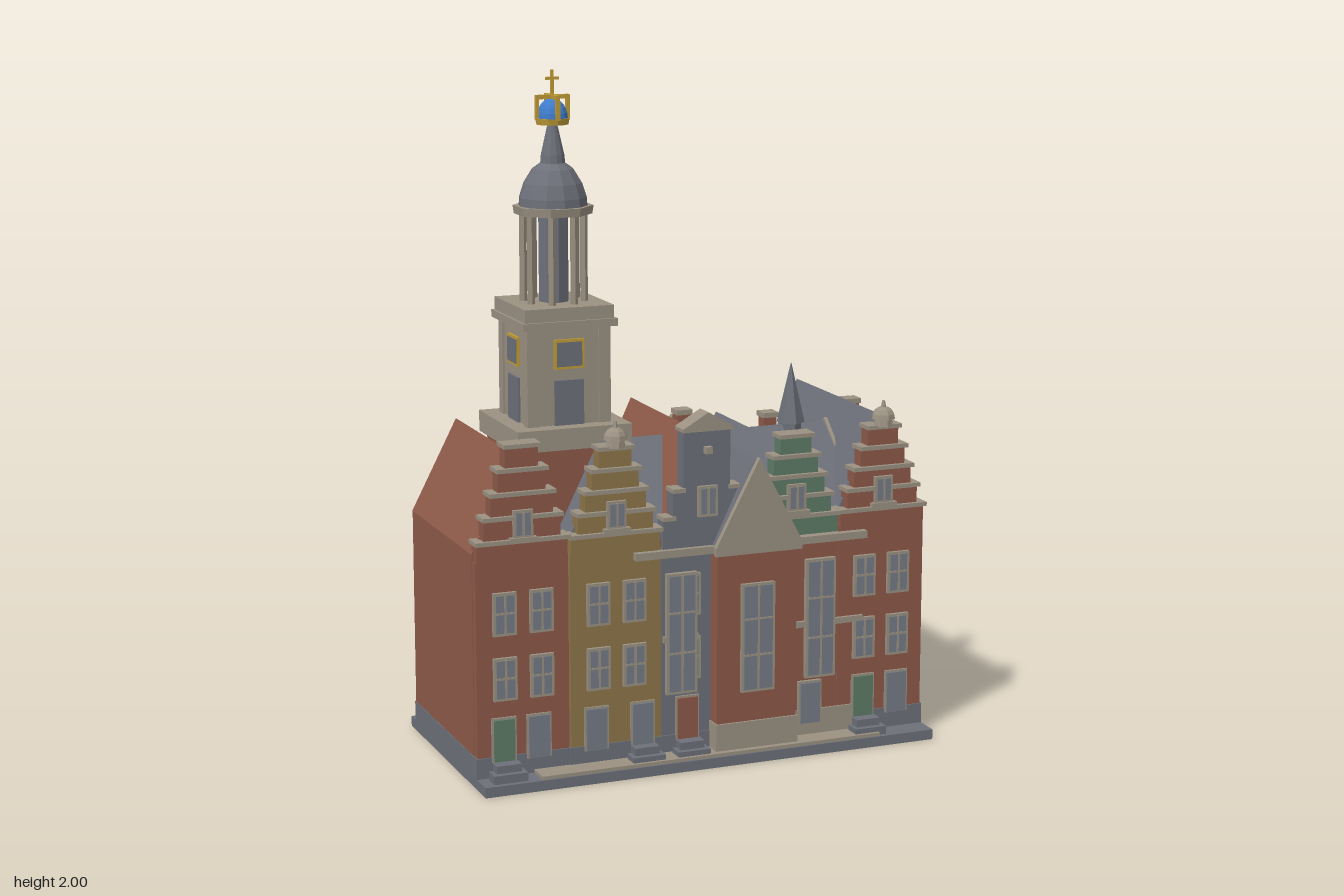
import * as THREE from 'three';

const mat = (name, color) => Object.assign(new THREE.MeshStandardMaterial({ color, flatShading: true }), { name });
const M = {
  brick: mat('brick', 0x8d5a49), slate: mat('slate', 0x6d7079), ochre: mat('ochre', 0x8f7549),
  green: mat('green', 0x5e7c68), stone: mat('stone', 0x9b9182), glass: mat('glass', 0x747b87),
  gold: mat('gold', 0xc09c38), blue: mat('blue', 0x3f7ccb),
};

function add(parent, name, geo, m, x = 0, y = 0, z = 0) {
  const mesh = new THREE.Mesh(geo, m);
  mesh.name = name;
  mesh.position.set(x, y, z);
  parent.add(mesh);
  return mesh;
}
// box standing on height y
const box = (p, name, m, w, h, d, x, y, z) => add(p, name, new THREE.BoxGeometry(w, h, d), m, x, y + h / 2, z);
// tapered cylinder standing on height y
const cyl = (p, name, m, r1, r0, h, n, x, y, z) => add(p, name, new THREE.CylinderGeometry(r1, r0, h, n), m, x, y + h / 2, z);
function group(parent, name, x = 0, y = 0, z = 0, ry = 0) {
  const g = new THREE.Group();
  g.name = name;
  g.position.set(x, y, z);
  g.rotation.y = ry;
  parent.add(g);
  return g;
}
// outline in x and y, extruded from z0 to z1
function prism(p, name, m, pts, z0, z1, x = 0) {
  const s = new THREE.Shape(pts.map(([a, b]) => new THREE.Vector2(a, b)));
  return add(p, name, new THREE.ExtrudeGeometry(s, { depth: z1 - z0, bevelEnabled: false }), m, x, 0, z0);
}
// gabled body with a chevron roof over it
function gabled(p, wallMat, roofMat, hw, eave, ridge, z0, z1) {
  const t = 0.018;
  prism(p, 'walls', wallMat, [[-hw, 0.03], [hw, 0.03], [hw, eave - t], [0, ridge - t], [-hw, eave - t]], z0, z1);
  prism(p, 'roof', roofMat, [[-hw, eave - t], [0, ridge - t], [hw, eave - t], [hw, eave], [0, ridge], [-hw, eave]], z0 - 0.003, z1);
}
// framed window with glazing bars, facing +z of its parent
function windowAt(p, x, y, w, h, z, bars = 1) {
  const g = group(p, 'window', x, y, z);
  box(g, 'windowFrame', M.stone, w, h, 0.016, 0, 0, 0.003);
  box(g, 'windowGlass', M.glass, w - 0.016, h - 0.016, 0.004, 0, 0.008, 0.011);
  box(g, 'windowMullion', M.stone, 0.006, h - 0.01, 0.006, 0, 0.005, 0.012);
  for (let i = 1; i <= bars; i++) box(g, 'windowTransom', M.stone, w - 0.01, 0.006, 0.006, 0, h * i / (bars + 1), 0.012);
}
function door(p, m, x, z) {
  box(p, 'doorFrame', M.stone, 0.074, 0.13, 0.012, x, 0.075, z);
  box(p, 'door', m, 0.062, 0.122, 0.012, x, 0.077, z + 0.005);
}
function chimney(p, x, z, y0, y1) {
  box(p, 'chimney', M.brick, 0.042, y1 - y0, 0.042, x, y0, z);
  box(p, 'chimneyCap', M.stone, 0.05, 0.015, 0.05, x, y1, z);
}

// stepped front gable with stone coping
function steppedGable(p, m, top, finial) {
  const n = 5, y0 = 0.65, h = (top - y0) / n;
  for (let i = 0; i < n; i++) {
    const w = 0.27 - i * 0.043;
    box(p, 'gableStep', m, w, h, 0.045, 0, y0 + i * h, 0.258);
    box(p, 'gableCoping', M.stone, w + 0.012, 0.012, 0.062, 0, y0 + (i + 1) * h - 0.008, 0.262);
  }
  windowAt(p, 0, 0.725, 0.058, 0.08, 0.281, 0);
  box(p, 'gableSill', M.stone, 0.08, 0.012, 0.02, 0, 0.715, 0.288);
  if (finial) {
    cyl(p, 'finialNeck', M.stone, 0.026, 0.03, 0.025, 8, 0, top, 0.28);
    add(p, 'finialCap', new THREE.SphereGeometry(0.036, 8, 4, 0, Math.PI * 2, 0, Math.PI / 2), M.stone, 0, top + 0.022, 0.28);
    cyl(p, 'finialTip', M.stone, 0.004, 0.008, 0.02, 6, 0, top + 0.055, 0.28);
  }
}

// necked front gable with a small pediment
function neckGable(p) {
  for (const [w, y, h] of [[0.27, 0.64, 0.09], [0.21, 0.73, 0.08], [0.145, 0.81, 0.18]]) {
    box(p, 'gableStage', M.slate, w, h, 0.045, 0, y, 0.258);
    if (w > 0.15) for (const s of [-1, 1]) box(p, 'gableCoping', M.stone, 0.04, 0.012, 0.055, s * (w / 2 - 0.018), y + h, 0.26);
  }
  prism(p, 'pediment', M.stone, [[-0.078, 0.985], [0.078, 0.985], [0.078, 0.995], [0, 1.04], [-0.078, 0.995]], 0.23, 0.292);
  windowAt(p, 0, 0.735, 0.06, 0.09, 0.281, 0);
  box(p, 'gableHatch', M.stone, 0.02, 0.02, 0.05, 0, 0.92, 0.275);
}

function house(root, o) {
  const g = group(root, o.name, o.x);
  gabled(g, o.wall, o.roof, 0.14, o.eave, o.ridge, o.back, 0.25);
  box(g, 'facade', o.wall, 0.276, o.eave - 0.05, 0.03, 0, 0.03, o.front - 0.015);
  box(g, 'plinth', M.slate, 0.284, 0.06, o.front - o.back + 0.008, 0, 0.03, (o.front + o.back) / 2);
  const rear = group(g, 'rearWindows', 0, 0, o.back, Math.PI);
  for (const x of [-0.055, 0.055]) for (const y of [0.255, 0.445]) {
    windowAt(g, x, y, 0.07, 0.125, o.front);
    windowAt(rear, x, y, 0.07, 0.125, 0);
  }
  if (o.gable) steppedGable(g, o.wall, o.gable, o.finial);
  else neckGable(g);
  for (const [m, x, step] of o.doors) {
    door(g, m, x, o.doorZ ?? o.front);
    if (step) {
      box(g, 'doorStep', M.slate, 0.1, 0.025, 0.05, x, 0.03, 0.315);
      box(g, 'doorStep', M.slate, 0.075, 0.022, 0.035, x, 0.055, 0.305);
    }
  }
}

function church(root) {
  const g = group(root, 'church');
  // long nave, ridge running sideways
  const nave = group(g, 'nave', 0, 0, 0, Math.PI / 2);
  gabled(nave, M.brick, M.slate, 0.262, 0.69, 0.92, -0.25, 0.5);
  prism(nave, 'naveEndCoping', M.stone, [[-0.26, 0.68], [0.26, 0.68], [0.262, 0.7], [0, 0.93], [-0.262, 0.7]], 0.5, 0.51);
  box(g, 'naveWall', M.brick, 0.2, 0.6, 0.02, 0.32, 0.03, 0.265);
  box(g, 'navePlinth', M.stone, 0.24, 0.075, 0.03, 0.37, 0.04, 0.266);
  for (const s of [-1, 1]) {
    const x = 0.14 + s * 0.22;
    box(g, 'naveCornice', M.stone, 0.3, 0.022, 0.045, 0.14 + s * 0.215, 0.625, 0.275);
    box(g, 'naveStringCourse', M.stone, s > 0 ? 0.24 : 0.11, 0.018, 0.02, s > 0 ? 0.38 : x, 0.37, 0.276);
    windowAt(g, x, 0.215, 0.095, 0.36, 0.28, 2);
  }
  // transept with a stone gable at each end
  const t = group(g, 'transept', 0.14);
  gabled(t, M.brick, M.slate, 0.125, 0.64, 0.9, -0.325, 0.325);
  box(t, 'transeptPlinth', M.stone, 0.26, 0.085, 0.664, 0, 0.035, 0);
  for (const a of [0, Math.PI]) {
    const e = group(t, 'transeptEnd', 0, 0, 0, a);
    prism(e, 'stoneGable', M.stone, [[-0.135, 0.625], [0.135, 0.625], [0.135, 0.65], [0, 0.905], [-0.135, 0.65]], 0.322, 0.34);
    windowAt(e, 0, 0.21, 0.105, 0.325, 0.325, 2);
  }
  // ridge turret
  cyl(g, 'turretDrum', M.slate, 0.032, 0.032, 0.1, 6, 0.39, 0.84, 0);
  cyl(g, 'turretSpire', M.slate, 0.001, 0.042, 0.18, 6, 0.39, 0.925, 0);
}

function tower(root) {
  const g = group(root, 'tower', -0.36);
  box(g, 'towerShaft', M.brick, 0.31, 0.92, 0.31, 0, 0.03, 0);
  box(g, 'lowerCornice', M.stone, 0.346, 0.062, 0.346, 0, 0.938, 0);
  box(g, 'belfry', M.stone, 0.24, 0.29, 0.24, 0, 1, 0);
  box(g, 'belfryCornice', M.stone, 0.284, 0.022, 0.284, 0, 1.28, 0);
  box(g, 'belfryParapet', M.stone, 0.268, 0.038, 0.268, 0, 1.302, 0);
  for (let i = 0; i < 4; i++) {
    const f = group(g, 'belfryFace', 0, 0, 0, i * Math.PI / 2);
    for (const s of [-1, 1]) box(f, 'cornerPilaster', M.stone, 0.035, 0.28, 0.012, s * 0.108, 1, 0.12);
    box(f, 'belfryOpening', M.slate, 0.088, 0.13, 0.012, 0, 1, 0.121);
    box(f, 'clockFrame', M.gold, 0.09, 0.085, 0.014, 0, 1.163, 0.121);
    box(f, 'clockPanel', M.slate, 0.076, 0.07, 0.01, 0, 1.17, 0.125);
  }
  // open lantern
  cyl(g, 'lanternCore', M.slate, 0.045, 0.045, 0.27, 8, 0, 1.335, 0);
  for (let i = 0; i < 8; i++) {
    const a = (i + 0.5) * Math.PI / 4;
    cyl(g, 'lanternColumn', M.stone, 0.011, 0.011, 0.26, 6, 0.087 * Math.cos(a), 1.335, 0.087 * Math.sin(a));
  }
  cyl(g, 'lanternRing', M.stone, 0.116, 0.112, 0.024, 8, 0, 1.592, 0).rotation.y = Math.PI / 8;
  // dome and spire
  const profile = [[0, 1.61], [0.1, 1.61], [0.098, 1.64], [0.085, 1.68], [0.06, 1.72], [0.036, 1.737], [0.034, 1.76], [0.011, 1.86], [0, 1.86]];
  add(g, 'domeAndSpire', new THREE.LatheGeometry(profile.map(([a, b]) => new THREE.Vector2(a, b)), 12), M.slate);
  // crown and cross
  cyl(g, 'crownBand', M.gold, 0.05, 0.046, 0.018, 12, 0, 1.846, 0);
  add(g, 'crownCap', new THREE.SphereGeometry(0.045, 12, 6, 0, Math.PI * 2, 0, Math.PI / 2), M.blue, 0, 1.864, 0).scale.y = 1.25;
  for (let i = 0; i < 4; i++) {
    const f = group(g, 'crownSide', 0, 0, 0, i * Math.PI / 2);
    box(f, 'crownPost', M.gold, 0.012, 0.07, 0.01, 0, 1.86, 0.046);
    box(f, 'crownArch', M.gold, 0.012, 0.012, 0.05, 0, 1.918, 0.026);
  }
  box(g, 'crossPost', M.gold, 0.008, 0.075, 0.008, 0, 1.925, 0);
  box(g, 'crossArm', M.gold, 0.04, 0.008, 0.008, 0, 1.972, 0);
}

export function createModel() {
  const root = new THREE.Group();
  root.name = 'townRow';
  box(root, 'baseSlab', M.slate, 1.404, 0.03, 0.71, 0, 0, 0);
  box(root, 'pavement', M.stone, 1.06, 0.01, 0.7, 0, 0.03, 0);
  const { brick, slate, ochre, green, glass } = M;
  [
    { name: 'house1', x: -0.56, wall: brick, roof: brick, eave: 0.68, ridge: 0.95, front: 0.275, back: -0.31, gable: 0.99, doors: [[green, -0.06, 1], [glass, 0.045, 0]] },
    { name: 'house2', x: -0.28, wall: ochre, roof: slate, eave: 0.68, ridge: 0.96, front: 0.279, back: -0.33, gable: 0.96, finial: true, doors: [[glass, -0.062, 0], [glass, 0.08, 1]] },
    { name: 'house3', x: 0, wall: slate, roof: brick, eave: 0.67, ridge: 0.97, front: 0.276, back: -0.315, doors: [[brick, -0.06, 1]] },
    { name: 'house4', x: 0.28, wall: green, roof: slate, eave: 0.66, ridge: 0.905, front: 0.255, back: -0.31, gable: 0.95, doorZ: 0.28, doors: [[glass, 0.05, 0]] },
    { name: 'house5', x: 0.56, wall: brick, roof: slate, eave: 0.685, ridge: 0.985, front: 0.275, back: -0.325, gable: 0.955, finial: true, doors: [[green, -0.055, 1], [glass, 0.055, 0]] },
  ].forEach((o) => house(root, o));
  church(root);
  tower(root);
  chimney(root, 0.07, -0.08, 0.75, 0.96);
  chimney(root, 0.35, -0.08, 0.72, 0.93);
  chimney(root, 0.63, -0.09, 0.78, 0.95);
  return root;
}
